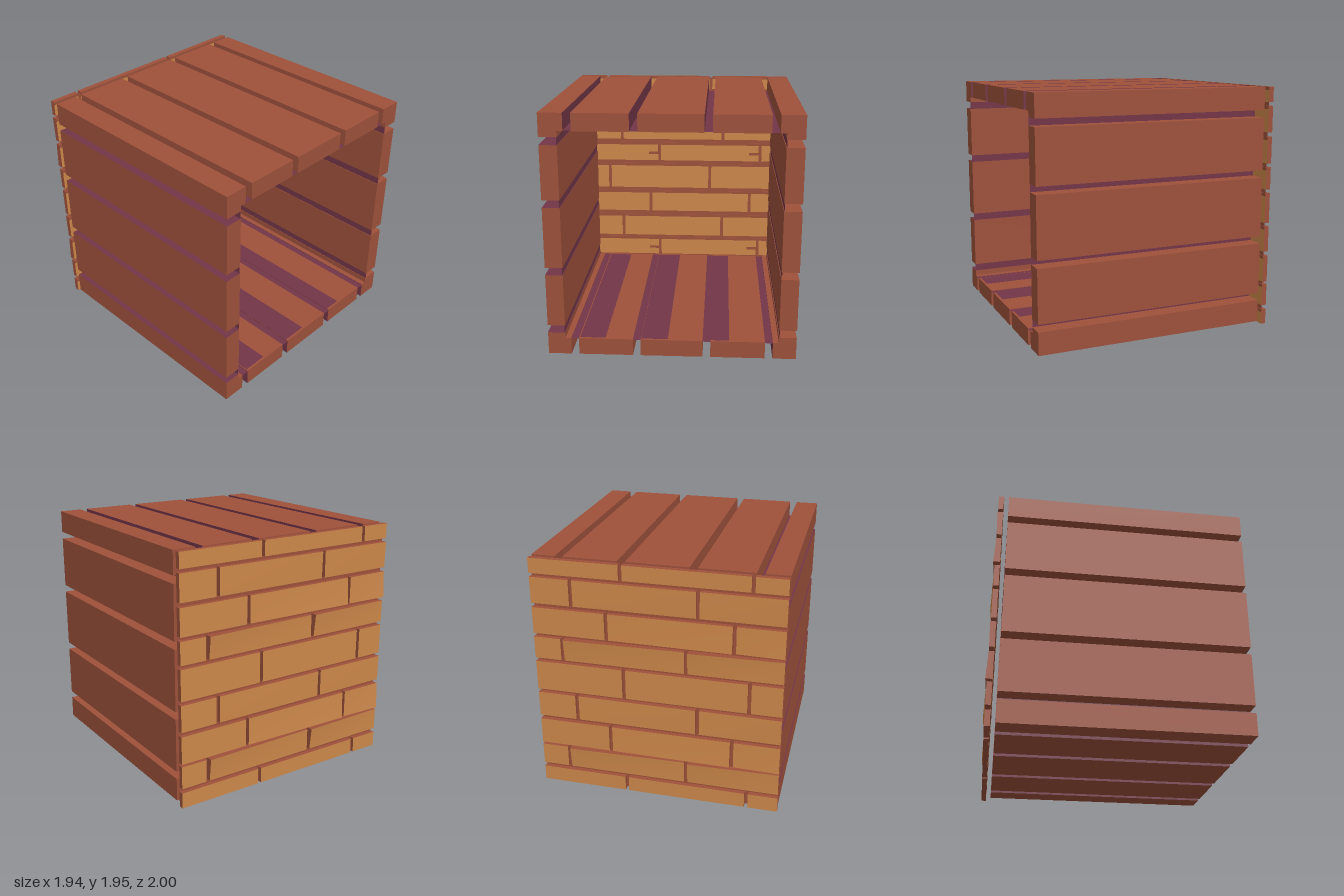
import * as THREE from 'three';

const mat = (name, color, side = THREE.FrontSide) => {
  const m = new THREE.MeshStandardMaterial({ color, side });
  m.name = name;
  return m;
};

export function createModel() {
  const brown = mat('redBrownWood', 0x9e513b, THREE.DoubleSide);
  const purple = mat('darkPurple', 0x733548, THREE.DoubleSide);
  const tan = mat('tanBrick', 0xcd884a);

  const model = new THREE.Group();
  model.name = 'openCrate';

  // Box given by its limits
  function block(parent, name, [x0, x1], [y0, y1], [z0, z1], material) {
    const mesh = new THREE.Mesh(new THREE.BoxGeometry(x1 - x0, y1 - y0, z1 - z0), material);
    mesh.position.set((x0 + x1) / 2, (y0 + y1) / 2, (z0 + z1) / 2);
    mesh.name = name;
    parent.add(mesh);
    return mesh;
  }

  // Plank tunnel: one wall of planks, turned four times about z
  const OUT = 0.96, IN = 0.825, DEPTH = [-0.9, 1];
  const plankMats = [purple, brown, brown, brown, brown, brown];
  const tunnel = new THREE.Group();
  tunnel.name = 'plankTunnel';
  tunnel.position.y = 0.99;
  tunnel.scale.x = 1.01;
  model.add(tunnel);

  ['ceiling', 'rightWall', 'floor', 'leftWall'].forEach((name, i) => {
    const wall = new THREE.Group();
    wall.name = name;
    wall.rotation.z = i * Math.PI / 2;
    for (const span of [[-0.72, -0.3], [-0.24, 0.24], [0.3, 0.72]])
      block(wall, 'plank', span, [IN, OUT], DEPTH, plankMats);
    // L-shaped corner post
    block(wall, 'cornerPlank', [-OUT, -0.78], [IN, OUT], DEPTH, plankMats);
    block(wall, 'cornerLip', [-OUT, -IN], [0.78, IN], DEPTH, brown);
    // Thin lining that closes the gaps
    const lining = new THREE.Mesh(new THREE.PlaneGeometry(2 * IN, 1.9), purple);
    lining.name = 'lining';
    lining.rotation.x = -Math.PI / 2;
    lining.position.set(0, IN + 0.005, 0.05);
    wall.add(lining);
    tunnel.add(wall);
  });

  // Dark stains along the floor planks
  for (const [x0, x1] of [[-0.72, -0.52], [-0.24, -0.03], [0.3, 0.45]])
    block(model, 'floorStain', [x0, x1], [0.162, 0.166], [-0.88, 0.98], purple);

  // Back wall: staggered brick courses, with some corners pulled out
  const brickMats = [brown, brown, brown, brown, tan, tan];
  const backWall = new THREE.Group();
  backWall.name = 'brickBackWall';
  model.add(backWall);

  function brick([x0, x1], [y0, y1], pulled) {
    const mesh = block(backWall, 'brick', [x0, x1], [y0, y1], [-0.98, -0.94], brickMats);
    if (pulled) {
      const p = mesh.geometry.attributes.position;
      for (let i = 0; i < p.count; i++)
        if (p.getZ(i) < 0 && p.getX(i) * pulled.x > 0 && p.getY(i) * pulled.y > 0)
          p.setZ(i, p.getZ(i) - pulled.by);
      mesh.geometry.computeVertexNormals();
    }
    // Worn upper edge on the inner face
    block(backWall, 'brickEdge', [x0, x1], [y1 - 0.025, y1], [-0.941, -0.938], brown);
  }

  const joints = [[-0.72, 0.258], [-0.322, 0.65], [-0.595, 0.382], [-0.232, 0.742]];
  const pulls = [
    null,
    { x: -1, y: 1, by: 0.004 },
    { x: -1, y: -1, by: 0.012 },
    { x: 1, y: 1, by: 0.02 },
  ];
  const courses = [
    [1.83, 1.95], [1.59, 1.8], [1.34, 1.555], [1.13, 1.31], [0.855, 1.1],
    [0.615, 0.825], [0.36, 0.58], [0.16, 0.34], [0, 0.125],
  ];
  courses.forEach((rows, c) => {
    const [a, b] = joints[c % 4], g = 0.014;
    brick([-0.97, a - g], rows, pulls[c % 4]);
    brick([a + g, b - g], rows, pulls[c % 4]);
    brick([b + g, 0.97], rows, null);
    // Small chips beside the joints
    if (c % 4 === 3)
      for (const x of [a - g, b - g])
        block(backWall, 'chip', [x - 0.09, x], [rows[0] + 0.06, rows[0] + 0.085], [-0.941, -0.938], brown);
  });

  // Mortar sheet between the bricks
  const mortar = new THREE.Mesh(new THREE.PlaneGeometry(1.92, 1.93), brown);
  mortar.name = 'mortar';
  mortar.position.set(0, 0.975, -0.945);
  backWall.add(mortar);

  return model;
}
